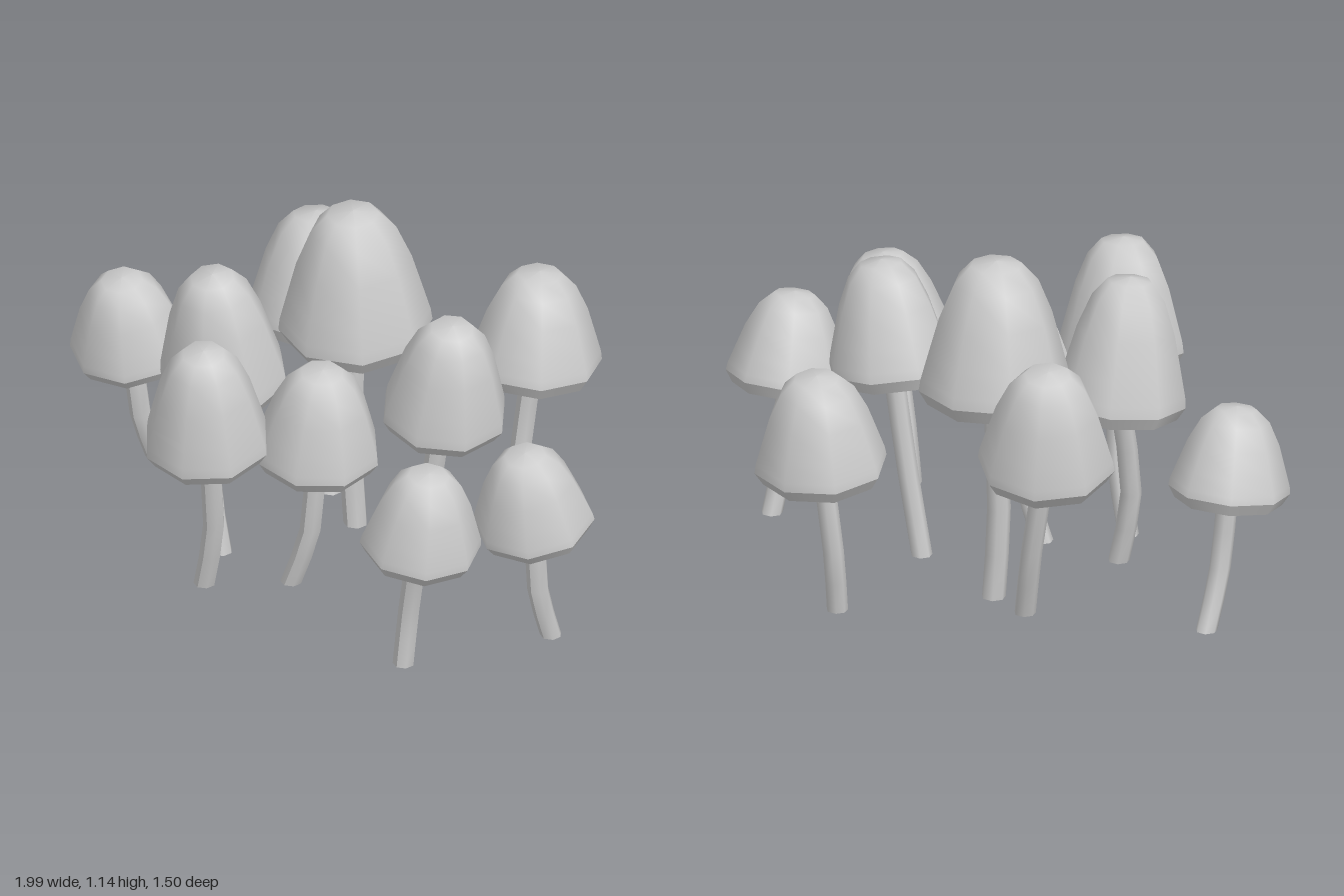
import * as THREE from 'three';

const material = new THREE.MeshStandardMaterial({ color: 0xcccccc });
const SIDES = 8;

// rim: centre of the cap's widest ring, r: radius, h: dome height,
// tilt: lean of the cap axis (x, z), spin: turn about its axis,
// foot and knee: (x, z) of the stem's lower end and bend
const mushrooms = [
  { rim: [-0.81, 0.46, 0.09], r: 0.19, h: 0.27, tilt: [0, 0.17], spin: -0.2, foot: [-0.79, -0.01], knee: [-0.795, 0.06] },
  { rim: [0.81, 0.46, 0.09], r: 0.19, h: 0.27, tilt: [0, 0.17], spin: -0.2, foot: [0.82, 0.02], knee: [0.81, 0.07] },
  { rim: [0.28, 0.53, -0.555], r: 0.21, h: 0.31, tilt: [0, -0.08], spin: 0, foot: [0.26, -0.49], knee: [0.25, -0.53] },
  { rim: [-0.37, 0.58, -0.275], r: 0.215, h: 0.34, tilt: [-0.1, -0.13], spin: 0.39, foot: [-0.245, -0.2], knee: [-0.3, -0.25] },
  { rim: [-0.085, 0.72, -0.125], r: 0.24, h: 0.42, tilt: [0, 0.03], spin: 0, foot: [-0.08, -0.12], knee: [-0.095, -0.115], thick: 0.038, y0: 0 },
  { rim: [-0.33, 0.595, 0.22], r: 0.205, h: 0.405, tilt: [0, 0.14], spin: 0.4, foot: [-0.28, 0.29], knee: [-0.33, 0.28] },
  { rim: [0.37, 0.635, -0.005], r: 0.2, h: 0.345, tilt: [0.14, 0.05], spin: 0.25, foot: [0.26, 0], knee: [0.31, 0] },
  { rim: [0.1, 0.53, 0.285], r: 0.2, h: 0.31, tilt: [0.1, 0.04], spin: 0.35, foot: [0, 0.29], knee: [0.07, 0.28] },
  { rim: [-0.125, 0.6, 0.55], r: 0.2, h: 0.36, tilt: [0.06, 0.12], spin: 0.3, foot: [-0.2, 0.47], knee: [-0.145, 0.49] },
  { rim: [0.655, 0.49, 0.455], r: 0.19, h: 0.275, tilt: [0.14, 0.02], spin: 0, foot: [0.575, 0.44], knee: [0.59, 0.43] },
];

function lathe(name, profile) {
  const pts = profile.map(([x, y]) => new THREE.Vector2(x, y));
  const mesh = new THREE.Mesh(new THREE.LatheGeometry(pts, SIDES), material);
  mesh.name = name;
  return mesh;
}

// Smooth dome, bevelled lip and shallow closed underside
function makeCap({ rim, r, h, tilt, spin }) {
  const cap = new THREE.Group();
  cap.name = 'cap';
  const lip = -0.2 * r;
  const dome = [[1, 0], [0.98, 0.09], [0.89, 0.28], [0.75, 0.57], [0.56, 0.83], [0.34, 0.97], [0, 1]];
  cap.add(
    lathe('dome', dome.map(([x, y]) => [x * r, y * h])),
    lathe('lip', [[0.88 * r, lip], [r, 0]]),
    lathe('underside', [[0, lip + 0.02], [0.88 * r, lip]]),
  );
  cap.position.set(...rim);
  const axis = new THREE.Vector3(tilt[0], 1, tilt[1]).normalize();
  cap.quaternion.setFromUnitVectors(new THREE.Vector3(0, 1, 0), axis);
  cap.rotateY(spin);
  return cap;
}

// Upright cylinder whose rings are shifted along a bent path into the cap
function makeStem({ rim, tilt, foot, knee, thick = 0.034, y0 = 0.015 }) {
  const top = rim[1];
  const kneeY = y0 + (top - y0) * 0.42;
  const path = new THREE.CatmullRomCurve3([
    new THREE.Vector3(foot[0], y0, foot[1]),
    new THREE.Vector3(knee[0], kneeY, knee[1]),
    new THREE.Vector3(rim[0] - tilt[0] * 0.05, top, rim[2] - tilt[1] * 0.05),
  ]);
  const geometry = new THREE.CylinderGeometry(thick, thick, 1, 7, 4);
  const pos = geometry.attributes.position;
  const p = new THREE.Vector3();
  for (let i = 0; i < pos.count; i++) {
    path.getPoint(THREE.MathUtils.clamp(pos.getY(i) + 0.5, 0, 1), p);
    pos.setXYZ(i, pos.getX(i) + p.x, p.y, pos.getZ(i) + p.z);
  }
  geometry.computeVertexNormals();
  const stem = new THREE.Mesh(geometry, material);
  stem.name = 'stem';
  return stem;
}

export function createModel() {
  const cluster = new THREE.Group();
  cluster.name = 'mushroomCluster';
  for (const spec of mushrooms) {
    const mushroom = new THREE.Group();
    mushroom.name = 'mushroom';
    mushroom.add(makeStem(spec), makeCap(spec));
    cluster.add(mushroom);
  }
  return cluster;
}
